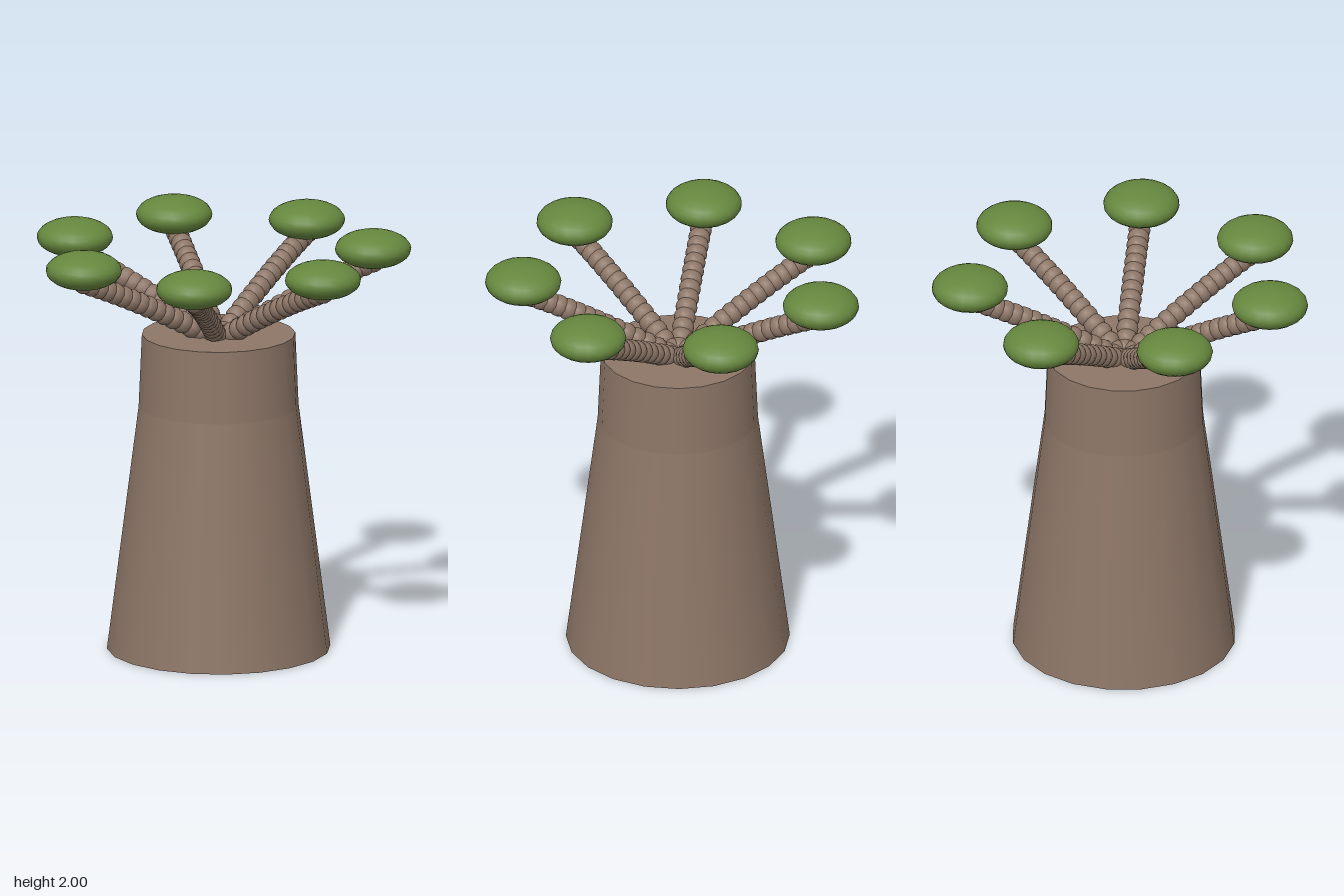
import * as THREE from 'three';

export function createModel() {
  const model = new THREE.Group();
  model.name = 'baobabTree';
  const bark = new THREE.MeshStandardMaterial({ color: 0x8d7667 });
  bark.name = 'bark brown';
  const leaf = new THREE.MeshStandardMaterial({ color: 0x66873e });
  leaf.name = 'leaf green';

  const tree = new THREE.Group();
  tree.name = 'tree';
  tree.position.x = -0.036;
  model.add(tree);

  const add = (parent, name, geometry, material, x, y, z = 0) => {
    const mesh = new THREE.Mesh(geometry, material);
    mesh.name = name;
    mesh.position.set(x, y, z);
    parent.add(mesh);
    return mesh;
  };

  // Trunk: wide tapering base and a nearly straight neck, with flat caps
  const topY = 1.515, neckY = 1.17, sides = 20;
  const baseR = 0.524, neckR = 0.375, topR = 0.36;
  add(tree, 'trunkBase', new THREE.CylinderGeometry(neckR, baseR, neckY, sides, 1, true), bark, 0, neckY / 2);
  add(tree, 'trunkNeck', new THREE.CylinderGeometry(topR, neckR, topY - neckY, sides, 1, true), bark, 0, (topY + neckY) / 2);
  add(tree, 'trunkTop', new THREE.CircleGeometry(topR, sides), bark, 0, topY).rotation.x = -Math.PI / 2;
  add(tree, 'trunkBottom', new THREE.CircleGeometry(baseR, sides), bark, 0, 0).rotation.x = Math.PI / 2;

  // Seven beaded branches, each ending in a flattened leaf cluster
  const bead = new THREE.SphereGeometry(0.052, 12, 8);
  const cluster = new THREE.SphereGeometry(0.179, 20, 14).scale(1, 0.49, 1);
  const path = new THREE.QuadraticBezierCurve(
    new THREE.Vector2(0, 1.48), new THREE.Vector2(0.4, 1.72), new THREE.Vector2(0.725, 1.85));
  const arms = 7, beads = 16;
  for (let i = 0; i < arms; i++) {
    const arm = new THREE.Group();
    arm.name = 'branch' + (i + 1);
    arm.rotation.y = (i / arms) * Math.PI * 2;
    for (let j = 0; j <= beads; j++) {
      const p = path.getPoint(j / beads);
      add(arm, 'branchBead', bead, bark, p.x, p.y);
    }
    add(arm, 'leafCluster', cluster, leaf, 0.725, 1.912);
    tree.add(arm);
  }
  return model;
}
